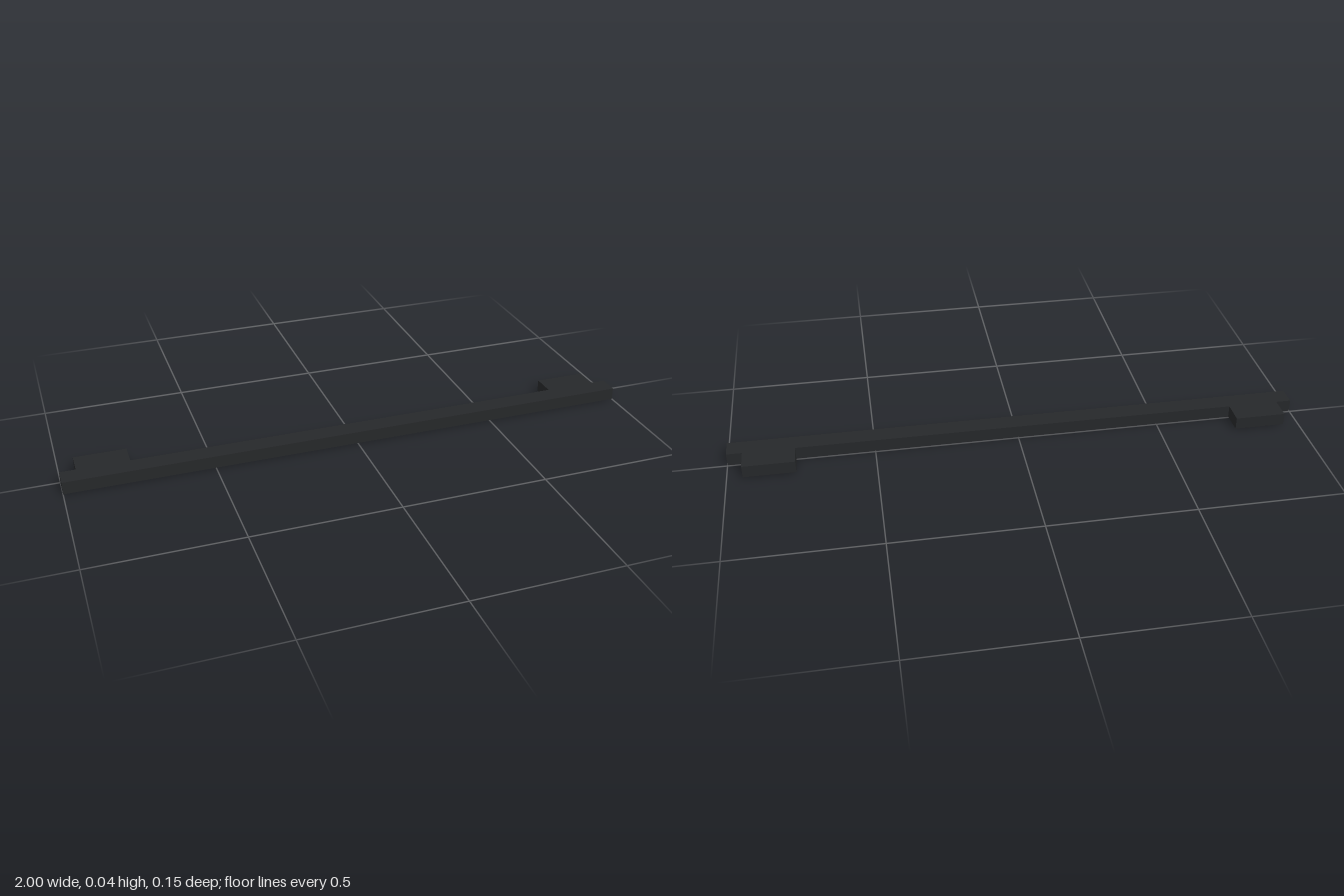
import * as THREE from 'three';

const HEIGHT = 0.043;

export function createModel() {
  const group = new THREE.Group();
  const dark = new THREE.MeshStandardMaterial({ color: 0x26282a });

  // Box given by its x and z limits, standing on the ground
  const addBlock = (name, x0, x1, z0, z1) => {
    const mesh = new THREE.Mesh(new THREE.BoxGeometry(x1 - x0, HEIGHT, z1 - z0), dark);
    mesh.position.set((x0 + x1) / 2, HEIGHT / 2, (z0 + z1) / 2);
    mesh.name = name;
    group.add(mesh);
  };

  // Long grip bar across the front
  addBlock('handleBar', -1, 1, 0.006, 0.075);

  // Mounting blocks behind each end
  addBlock('leftMount', 0.77, 0.947, -0.075, 0.006);
  addBlock('rightMount', -0.947, -0.77, -0.075, 0.006);

  return group;
}
